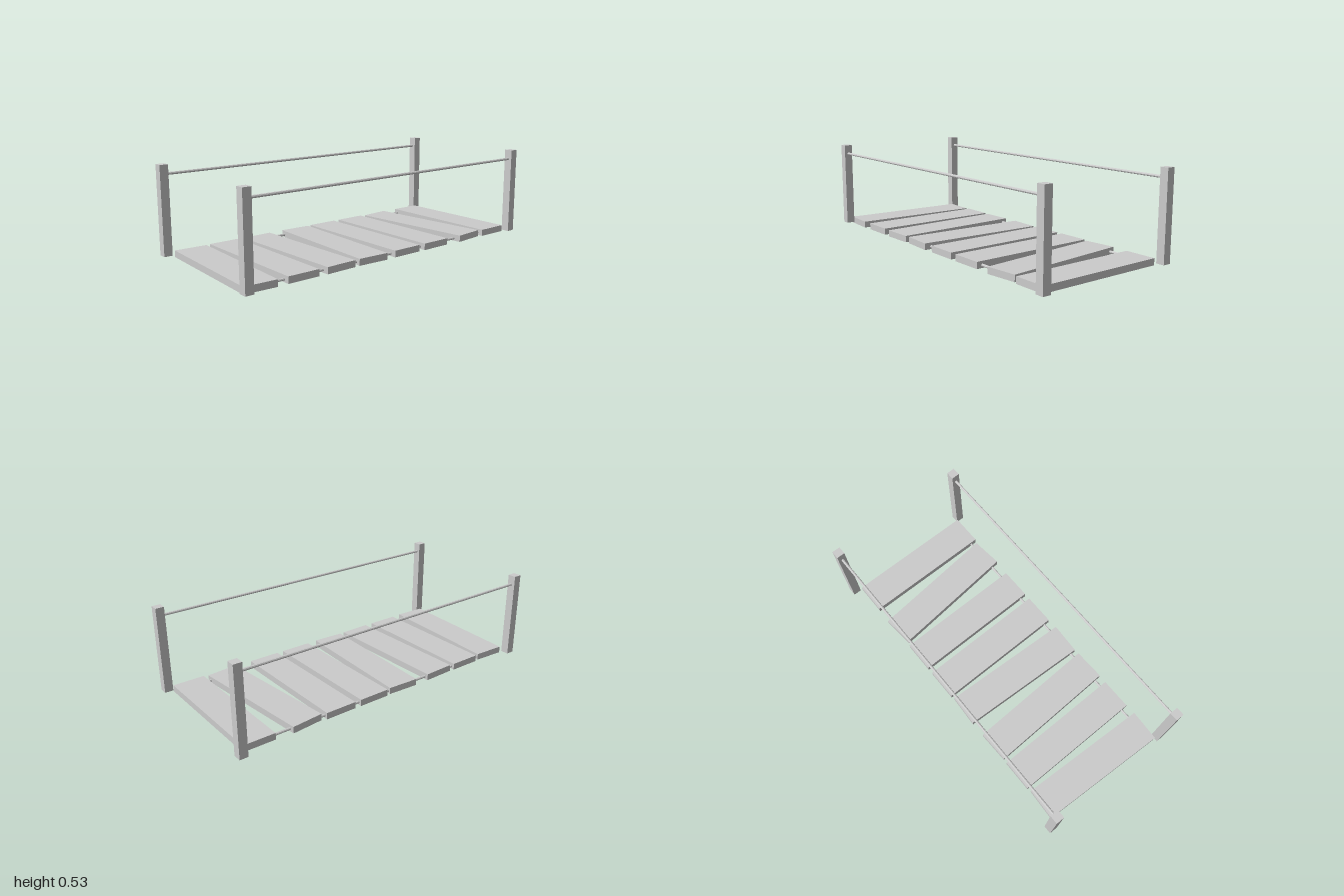
import * as THREE from 'three';

export function createModel() {
  const bridge = new THREE.Group();
  bridge.name = 'footbridge';
  const material = new THREE.MeshStandardMaterial({ color: 0xcccccc, flatShading: true });

  function add(name, geometry, x, y, z) {
    const mesh = new THREE.Mesh(geometry, material);
    mesh.name = name;
    mesh.position.set(x, y, z);
    bridge.add(mesh);
    return mesh;
  }

  // Deck planks, laid unevenly: [z, turn about y]
  const plankGeometry = new THREE.BoxGeometry(0.79, 0.039, 0.193);
  const planks = [
    [-0.85, 0], [-0.593, 0.1], [-0.335, 0.005], [-0.101, 0.003],
    [0.136, -0.05], [0.392, 0.03], [0.626, 0], [0.863, -0.05],
  ];
  planks.forEach(([z, turn], i) => {
    add(`plank${i + 1}`, plankGeometry, 0.007, 0.0195, z).rotation.y = turn;
  });

  // Corner posts, hand rails and the bearers threaded through the planks
  const postGeometry = new THREE.BoxGeometry(0.05, 0.518, 0.05);
  const railGeometry = new THREE.CylinderGeometry(0.008, 0.008, 1.92, 8).rotateX(Math.PI / 2);
  const bearerGeometry = new THREE.CylinderGeometry(0.008, 0.008, 1.76, 8).rotateX(Math.PI / 2);
  for (const side of [-1, 1]) {
    const label = side > 0 ? 'left' : 'right';
    for (const end of [-1, 1]) {
      add(`${label}${end > 0 ? 'Front' : 'Back'}Post`, postGeometry, side * 0.425, 0.268, end * 0.975);
    }
    add(`${label}HandRail`, railGeometry, side * 0.425, 0.472, 0);
    add(`${label}Bearer`, bearerGeometry, side * 0.365, 0.016, 0);
  }
  return bridge;
}
